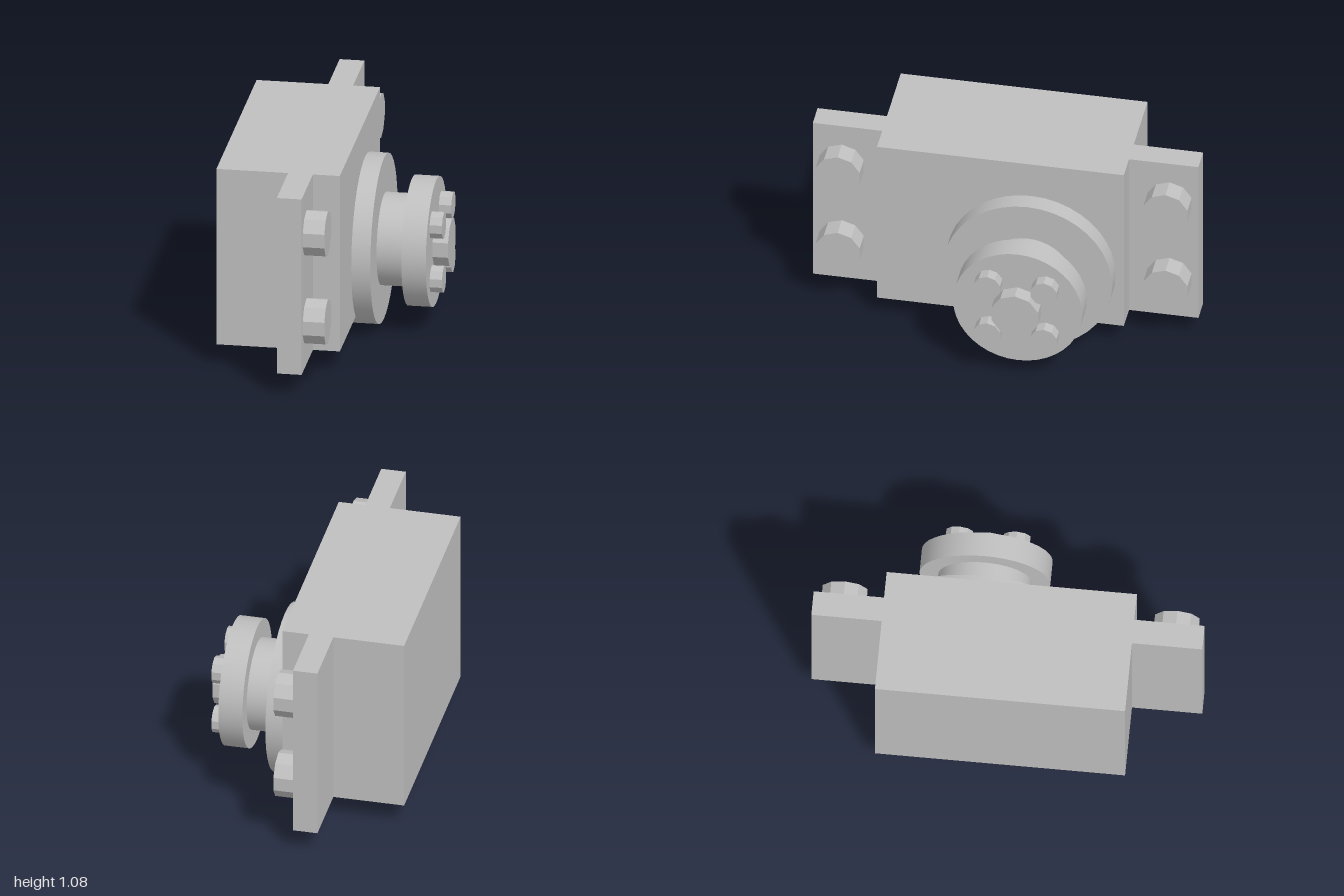
import * as THREE from 'three';

export function createModel() {
  const model = new THREE.Group();
  const steel = new THREE.MeshStandardMaterial({ color: 0xbfbfbf });

  function add(name, geometry, x, y, z) {
    const mesh = new THREE.Mesh(geometry, steel);
    mesh.name = name;
    mesh.position.set(x, y, z);
    model.add(mesh);
  }

  // Box spanning x0..x1, y0..y1, z0..z1
  function box(name, x0, x1, y0, y1, z0, z1) {
    add(name, new THREE.BoxGeometry(x1 - x0, y1 - y0, z1 - z0),
      (x0 + x1) / 2, (y0 + y1) / 2, (z0 + z1) / 2);
  }

  // Smooth disc lying along x
  function disc(name, x0, x1, r, y, z) {
    const g = new THREE.CylinderGeometry(r, r, x1 - x0, 40, 1, false, Math.PI / 2);
    add(name, g.rotateZ(-Math.PI / 2), (x0 + x1) / 2, y, z);
  }

  // Faceted ten-sided bolt head lying along x, with a corner at the top
  function bolt(name, x0, x1, r, y, z) {
    const g = new THREE.CylinderGeometry(r, r, x1 - x0, 10, 1, false, Math.PI / 2)
      .rotateZ(-Math.PI / 2).toNonIndexed();
    g.computeVertexNormals();
    add(name, g, (x0 + x1) / 2, y, z);
  }

  // Housing with a mounting ear at each end
  box('housing', -0.545, 0.092, 0.123, 1.08, -0.64, 0.64);
  for (const s of [-1, 1]) {
    const z = [s * 0.64, s].sort((a, b) => a - b);
    box('mountingEar', -0.175, -0.047, 0.123, 1.08, z[0], z[1]);
    for (const y of [0.843, 0.363]) bolt('mountingBolt', -0.047, 0.064, 0.12, y, s * 0.85);
  }

  // Output shaft and its flanges
  const cy = 0.443, cz = -0.16;
  disc('baseFlange', 0.046, 0.19, 0.438, cy, cz);
  disc('shaft', 0.19, 0.334, 0.239, cy, cz);
  disc('outerFlange', 0.334, 0.46, 0.335, cy, cz);

  // Hub bolt with four smaller bolts around it
  bolt('hubBolt', 0.46, 0.54, 0.127, cy, cz);
  for (const sy of [-1, 1]) for (const sz of [-1, 1]) {
    bolt('flangeBolt', 0.46, 0.524, 0.071, cy + sy * 0.147, cz + sz * 0.147);
  }

  return model;
}
